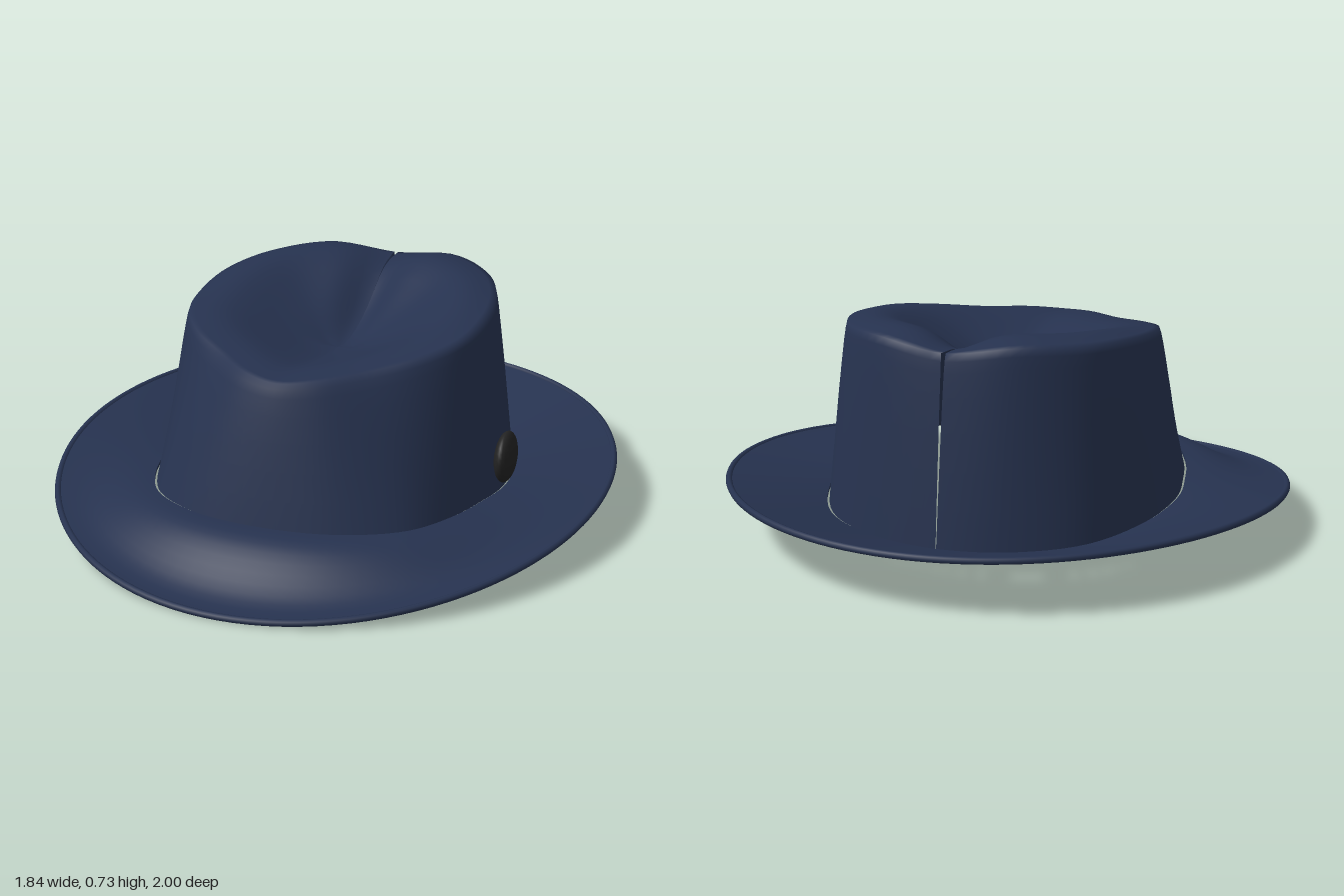
import * as THREE from 'three';

const COLS = 96;
const V = (x, y, z) => new THREE.Vector3(x, y, z);
const lerp = THREE.MathUtils.lerp;

// Closed outline from half of its points, back to front, mirrored in x
function outline(half) {
  const right = half.map(p => V(...p));
  const left = half.slice(1, -1).reverse().map(([x, y, z]) => V(-x, y, z));
  const curve = new THREE.CatmullRomCurve3([...right, ...left], true);
  return Array.from({ length: COLS + 1 }, (_, j) => curve.getPoint((j % COLS) / COLS));
}

// Smooth sheet through rows of points; first and last columns meet at the back
function sheet(rows) {
  const pos = [], index = [], n = COLS + 1;
  rows.forEach(row => row.forEach(p => pos.push(p.x, p.y, p.z)));
  for (let i = 0; i < rows.length - 1; i++) {
    for (let j = 0; j < COLS; j++) {
      const a = i * n + j, b = a + 1, c = a + n, d = c + 1;
      index.push(a, c, b, b, c, d);
    }
  }
  const g = new THREE.BufferGeometry();
  g.setAttribute('position', new THREE.Float32BufferAttribute(pos, 3));
  g.setIndex(index);
  g.computeVertexNormals();
  return g;
}

export function createModel() {
  const hat = new THREE.Group();
  hat.name = 'hat';
  const felt = new THREE.MeshStandardMaterial({ color: 0x26324f, side: THREE.DoubleSide });
  felt.name = 'navyFelt';
  const dark = new THREE.MeshStandardMaterial({ color: 0x222222 });
  dark.name = 'blackButton';
  const add = (name, geometry, material, parent = hat) => {
    const m = new THREE.Mesh(geometry, material);
    m.name = name;
    parent.add(m);
    return m;
  };

  // Foot of the crown and the pinched teardrop rim at its top
  const baseY = z => 0.122 + 0.05 * z;
  const base = outline([
    [0, -0.65], [0.22, -0.61], [0.42, -0.48], [0.54, -0.24], [0.575, 0],
    [0.55, 0.16], [0.5, 0.34], [0.41, 0.5], [0.23, 0.61], [0, 0.645],
  ].map(([x, z]) => [x, baseY(z), z]));
  const rim = outline([
    [0, 0.69, -0.575], [0.22, 0.715, -0.54], [0.39, 0.705, -0.4], [0.475, 0.69, -0.2], [0.488, 0.668, 0],
    [0.46, 0.65, 0.15], [0.37, 0.628, 0.28], [0.24, 0.607, 0.39], [0.11, 0.595, 0.495], [0, 0.588, 0.53],
  ]);

  // Crown: tapering wall, rounded shoulder, then the dented top
  const rows = [];
  for (const [h, inward] of [[0, 0], [0.2, 0.17], [0.4, 0.35], [0.6, 0.53], [0.78, 0.71], [0.9, 0.84], [0.96, 0.92], [1, 1]]) {
    rows.push(base.map((b, j) => V(
      lerp(b.x, rim[j].x, inward), lerp(b.y, rim[j].y, h), lerp(b.z, rim[j].z, inward))));
  }
  const dentY = 0.53;
  for (const s of [0.96, 0.91, 0.85, 0.78, 0.7, 0.6, 0.5, 0.4, 0.3, 0.2, 0.1, 0]) {
    rows.push(rim.map(r => {
      const x = r.x * s, z = r.z * s;
      const back = THREE.MathUtils.smoothstep(-r.z, -0.2, 0.4);
      const fall = THREE.MathUtils.smoothstep(s, 0, 0.85);
      const lip = Math.sin(Math.PI * THREE.MathUtils.clamp((1 - s) / 0.45, 0, 1));
      const crease = 0.05 * back * Math.exp(-((x / 0.07) ** 2)) * Math.sin(Math.PI * s);
      return V(x, lerp(dentY, r.y, fall) + 0.018 * lip * (0.3 + 0.7 * back) - crease, z);
    }));
  }
  // Narrow open seam down the back, widest at the shoulder
  rows.forEach((row, i) => {
    const gap = i < 8 ? 0.001 + 0.006 * i / 7 : Math.max(0, 0.007 - 0.0013 * (i - 7));
    row[0].x += gap;
    row[COLS].x -= gap;
  });
  add('crown', sheet(rows), felt);

  // Brim: dips in front, turns up at sides and back
  const brim = new THREE.Group();
  brim.name = 'brim';
  hat.add(brim);
  const inner = base.map(b => V(b.x * 1.012, b.y, b.z * 1.012));
  const outer = inner.map((_, j) => {
    const a = (j / COLS) * Math.PI * 2;
    const z = -0.988 * Math.cos(a);
    return V(0.91 * Math.sin(a), 0.149 - 0.087 * z - 0.05 * z * z, z);
  });
  const steps = Array.from({ length: 13 }, (_, i) => i / 12);
  const layer = drop => steps.map(t => inner.map((p, j) => {
    const q = outer[j];
    const front = Math.max(0, q.z) ** 2;
    const y = lerp(p.y, q.y, t) + 0.024 * front * Math.sin(Math.PI * 2 * t);
    return V(lerp(p.x, q.x, t), y - drop, lerp(p.z, q.z, t));
  }));
  const top = layer(-0.005), under = layer(0.005);
  add('brimTop', sheet(top), felt, brim);
  add('brimUnderside', sheet(under.slice().reverse()), felt, brim);
  add('brimInnerEdge', sheet([under[0], top[0]]), felt, brim);

  // Rolled binding around the brim
  const edge = new THREE.CatmullRomCurve3(outer.slice(0, COLS), true);
  add('brimBinding', new THREE.TubeGeometry(edge, 120, 0.011, 8, true), felt, brim);

  // Button on the left side of the crown
  const button = add('button', new THREE.SphereGeometry(1, 20, 14), dark);
  button.scale.set(0.032, 0.084, 0.086);
  button.position.set(0.592, 0.242, 0.033);

  return hat;
}
